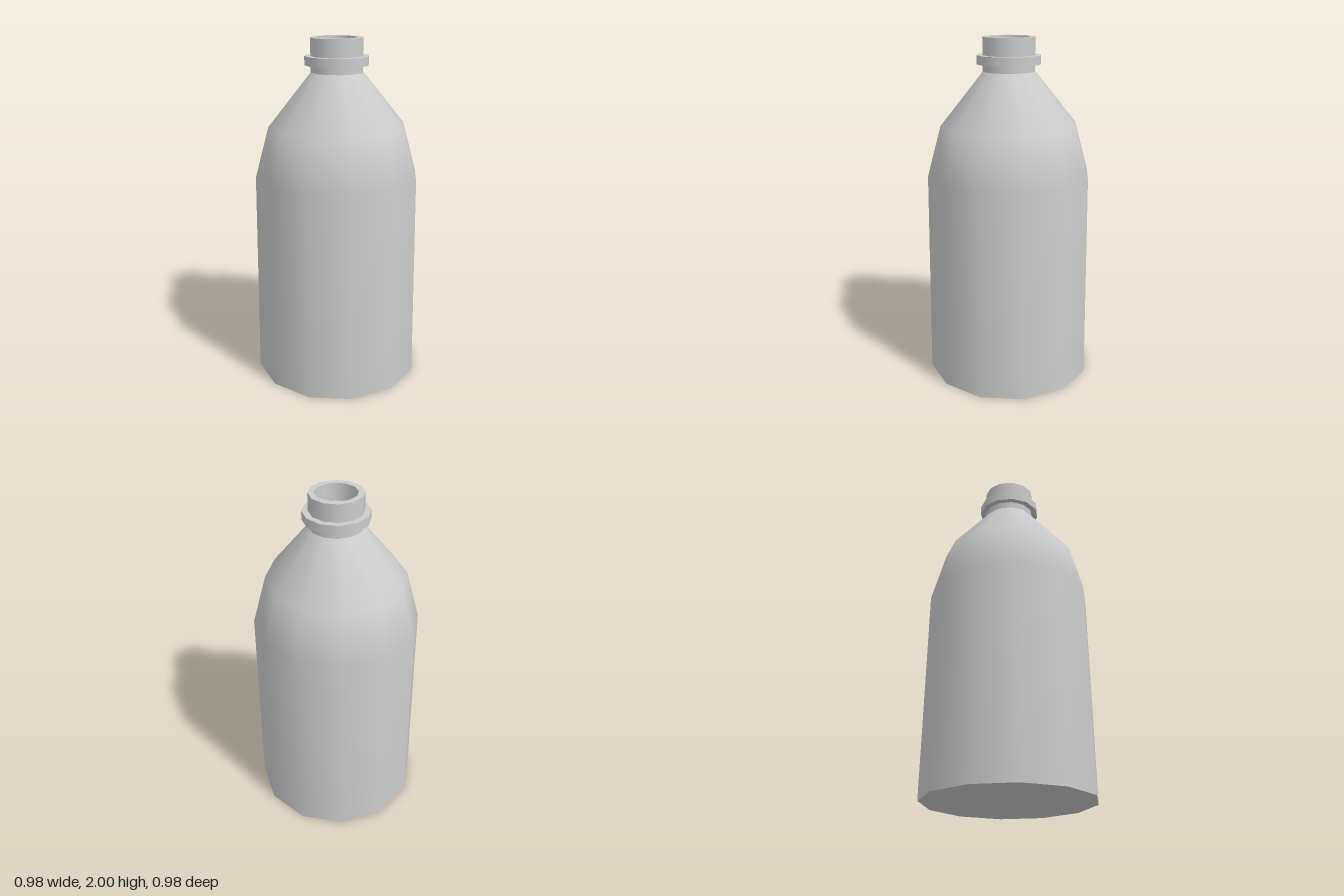
import * as THREE from 'three';

const SIDES = 12;

export function createModel() {
  const model = new THREE.Group();
  model.name = 'bottle';
  const material = new THREE.MeshStandardMaterial({ color: 0xcccccc });

  // Each part is one smooth turned band; separate bands keep sharp edges between them.
  const turn = (name, ...profile) => {
    const points = profile.map(([r, y]) => new THREE.Vector2(r, y));
    const mesh = new THREE.Mesh(new THREE.LatheGeometry(points, SIDES), material);
    mesh.name = name;
    model.add(mesh);
  };

  // Body: flat base, slightly tapered wall and sloping shoulder
  turn('base', [0, 0], [0.49, 0]);
  turn('body', [0.49, 0], [0.475, 1.22], [0.395, 1.51], [0.15, 1.81]);

  // Neck with its collar
  turn('lowerNeck', [0.15, 1.81], [0.15, 1.85]);
  turn('collarUnderside', [0.15, 1.85], [0.184, 1.85]);
  turn('collarRim', [0.184, 1.85], [0.184, 1.9]);
  turn('collarTop', [0.184, 1.9], [0.15, 1.9]);
  turn('upperNeck', [0.15, 1.9], [0.15, 2]);

  // Mouth: lip and shallow recess
  turn('lip', [0.15, 2], [0.115, 2]);
  turn('mouthWall', [0.115, 2], [0.115, 1.9]);
  turn('mouthFloor', [0.115, 1.9], [0, 1.9]);

  return model;
}
